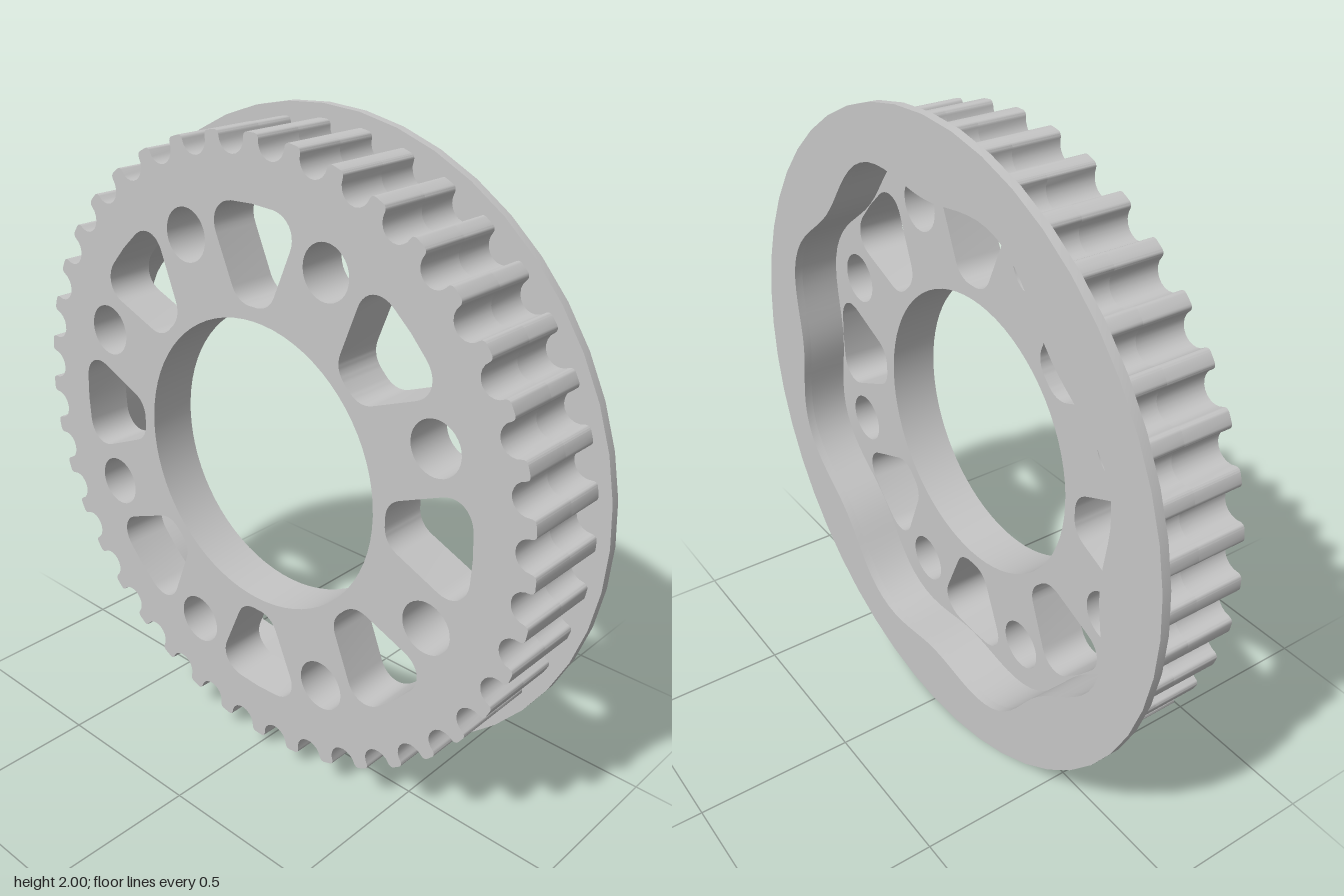
import * as THREE from 'three';
import { toCreasedNormals } from 'three/addons/utils/BufferGeometryUtils.js';

const TEETH = 40;
const TAU = Math.PI * 2;

// Point at radius r and sideways offset t, turned clockwise by a from the top
const polar = (a, r, t = 0) => new THREE.Vector2(
  r * Math.sin(a) + t * Math.cos(a),
  r * Math.cos(a) - t * Math.sin(a)
);

// Closed clockwise ring whose radius is a function of angle
function ring(radiusAt, segments) {
  const pts = [];
  for (let i = 0; i < segments; i++) {
    const a = (i / segments) * TAU;
    pts.push(polar(a, radiusAt(a)));
  }
  return pts;
}
const circle = (r, segments) => ring(() => r, segments);

// Toothed rim: round-bottomed grooves with rounded tooth tips
function toothOutline() {
  const tip = [];
  for (let k = 4; k >= 1; k--) {
    const a = (k / 4) * Math.PI / 2;
    tip.push([-0.061 + 0.014 * Math.cos(a), 0.944 + 0.014 * Math.sin(a)]);
  }
  const groove = [...tip];
  for (let k = 0; k <= 10; k++) {
    const a = (k / 10) * Math.PI;
    groove.push([-0.047 * Math.cos(a), 0.944 - 0.047 * Math.sin(a)]);
  }
  for (const [t, r] of tip.reverse()) groove.push([-t, r]);

  const pts = [];
  for (let i = 0; i < TEETH; i++) {
    pts.push(polar((i / TEETH) * TAU, 0.96));
    const mid = ((i + 0.5) / TEETH) * TAU;
    for (const [t, r] of groove) pts.push(polar(mid, r, t));
  }
  return pts;
}

// Rounded trapezoid window, wide side outward
function windowOutline(angle) {
  const s = new THREE.Shape();
  s.moveTo(0, 0.774);
  s.lineTo(0.078, 0.77);
  s.bezierCurveTo(0.13, 0.765, 0.163, 0.72, 0.139, 0.668);
  s.lineTo(0.08, 0.532);
  s.bezierCurveTo(0.067, 0.504, 0.045, 0.49, 0.015, 0.488);
  s.lineTo(-0.015, 0.488);
  s.bezierCurveTo(-0.045, 0.49, -0.067, 0.504, -0.08, 0.532);
  s.lineTo(-0.139, 0.668);
  s.bezierCurveTo(-0.163, 0.72, -0.13, 0.765, -0.078, 0.77);
  s.closePath();
  return s.getPoints(10).map((p) => polar(angle, p.y, p.x));
}

// Plate between two depths; the outline is reversed to run counter-clockwise
function plate(name, outline, holes, z0, z1, material) {
  const shape = new THREE.Shape([...outline].reverse());
  shape.holes = holes.map((h) => new THREE.Path(h));
  const geo = new THREE.ExtrudeGeometry(shape, { depth: z1 - z0, bevelEnabled: false });
  geo.translate(0, 1, z0);
  const mesh = new THREE.Mesh(toCreasedNormals(geo, 0.6), material);
  mesh.name = name;
  return mesh;
}

export function createModel() {
  const group = new THREE.Group();
  group.name = 'timingPulley';
  const metal = new THREE.MeshStandardMaterial({ color: 0xc6c6c6 });
  metal.name = 'light grey metal';

  // Central bore, windows and bolt holes in the web
  const webHoles = [circle(0.446, 72)];
  for (let i = 0; i < 8; i++) {
    const a = (i / 8) * TAU;
    const boltCentre = polar(a + TAU / 16, 0.693);
    webHoles.push(windowOutline(a));
    webHoles.push(circle(0.08, 32).map((p) => p.add(boltCentre)));
  }

  // Wavy pocket at the back, widest beside the bolt holes
  const pocket = ring((a) => 0.81 - 0.034 * Math.cos(8 * a), 128);
  const teeth = toothOutline();

  group.add(plate('toothedWeb', teeth, webHoles, 0, 0.153, metal));
  group.add(plate('toothedRim', teeth, [pocket], -0.126, 0, metal));
  group.add(plate('backFlange', circle(1, 48), [pocket], -0.153, -0.126, metal));
  return group;
}
